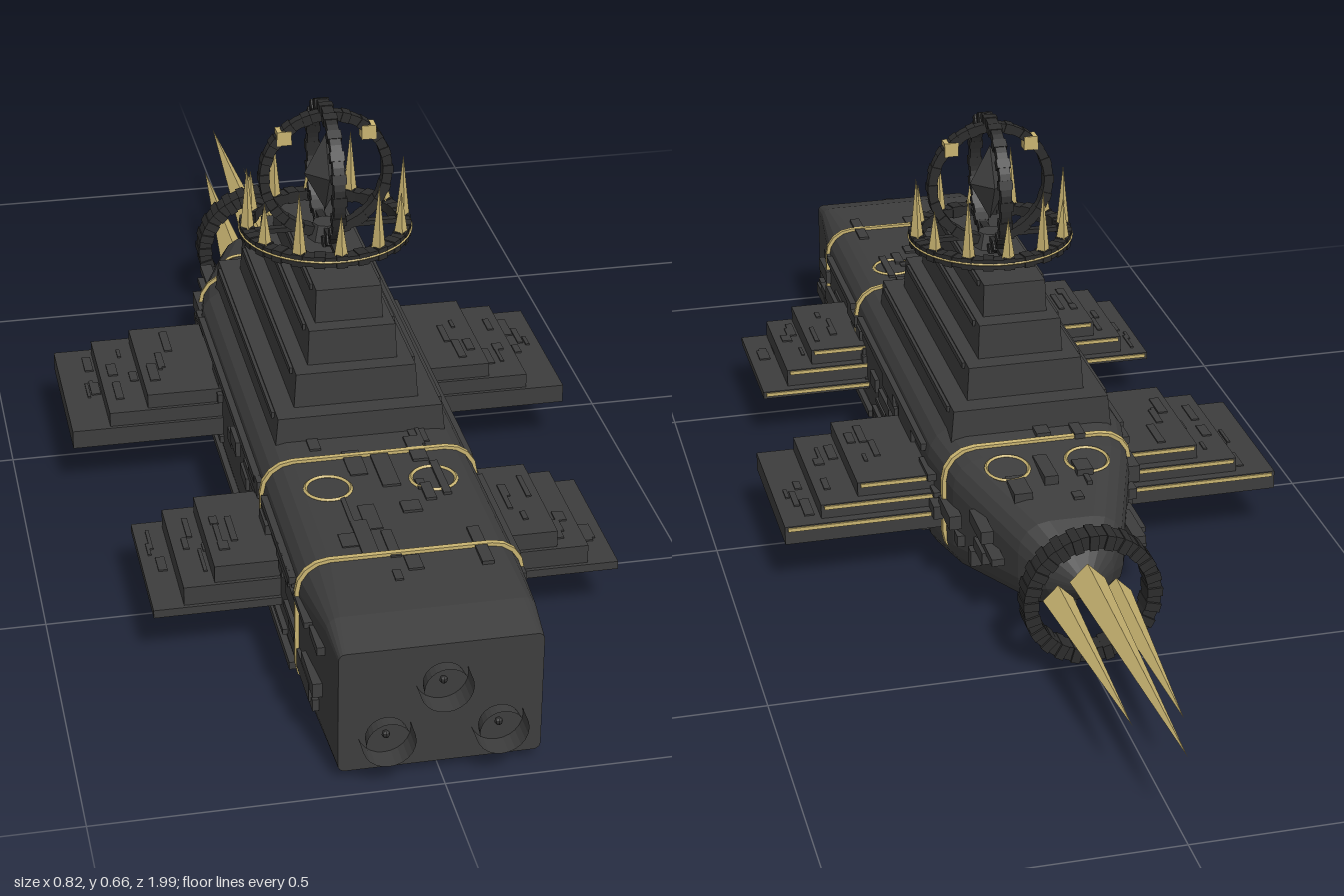
import * as THREE from 'three';
import { mergeGeometries } from 'three/addons/utils/BufferGeometryUtils.js';

const mat = (name, color) => {
  const m = new THREE.MeshStandardMaterial({ color, flatShading: true });
  m.name = name;
  return m;
};

// Hull stations: z, half width, bottom, top, corner radius
const STATIONS = [
  [0.965, 0.145, 0.022, 0.215, 0.01], [0.9, 0.15, 0.02, 0.233, 0.02],
  [0.77, 0.162, 0.016, 0.238, 0.045], [-0.1, 0.164, 0.016, 0.238, 0.05],
  [-0.2, 0.146, 0.026, 0.225, 0.05], [-0.38, 0.085, 0.054, 0.197, 0.05],
  [-0.43, 0.055, 0.082, 0.17, 0.04], [-0.475, 0.008, 0.118, 0.134, 0.008],
];

function stationAt(z) {
  let i = 0;
  while (i < STATIONS.length - 2 && z < STATIONS[i + 1][0]) i++;
  const a = STATIONS[i], b = STATIONS[i + 1], t = (a[0] - z) / (a[0] - b[0]);
  return a.map((v, k) => v + (b[k] - v) * t);
}

// Loft rounded rectangles from front to back, with end caps
function loft(stations) {
  const steps = 4, n = 4 * (steps + 1), pos = [], idx = [];
  for (const [z, w, y0, y1, r] of stations) {
    const corners = [[w - r, y1 - r], [r - w, y1 - r], [r - w, y0 + r], [w - r, y0 + r]];
    corners.forEach(([cx, cy], q) => {
      for (let s = 0; s <= steps; s++) {
        const a = (q + s / steps) * Math.PI / 2;
        pos.push(cx + r * Math.cos(a), cy + r * Math.sin(a), z);
      }
    });
  }
  const last = (stations.length - 1) * n;
  for (let i = 0; i < last; i += n) {
    for (let j = 0; j < n; j++) {
      const a = i + j, b = i + (j + 1) % n;
      idx.push(a, a + n, b, b, a + n, b + n);
    }
  }
  for (let j = 1; j < n - 1; j++) idx.push(0, j, j + 1, last, last + j + 1, last + j);
  const g = new THREE.BufferGeometry();
  g.setAttribute('position', new THREE.Float32BufferAttribute(pos, 3));
  g.setIndex(idx);
  const flat = g.toNonIndexed();
  flat.computeVertexNormals();
  return flat;
}

export function createModel() {
  const dark = mat('darkHull', 0x3d3d3d);
  const black = mat('blackRing', 0x2c2c2c);
  const gold = mat('paleGold', 0xc9b471);
  const model = new THREE.Group();
  let seed = 7;
  const rnd = () => (seed = (seed * 16807) % 2147483647) / 2147483647;

  const add = (name, geo, material, x = 0, y = 0, z = 0, parent = model) => {
    const m = new THREE.Mesh(geo, material);
    m.name = name;
    m.position.set(x, y, z);
    parent.add(m);
    return m;
  };
  const block = (x0, x1, y0, y1, z0, z1) =>
    new THREE.BoxGeometry(x1 - x0, y1 - y0, z1 - z0)
      .translate((x0 + x1) / 2, (y0 + y1) / 2, (z0 + z1) / 2);

  add('hull', loft(STATIONS), dark);

  // Gold bands hugging the hull
  for (const z of [0.765, 0.485, -0.17]) {
    const ring = [z + 0.004, z - 0.004].map((zz) => {
      const [, w, y0, y1, r] = stationAt(zz);
      return [zz, w + 0.006, y0 + 0.01, y1 + 0.005, r + 0.004];
    });
    add('hullBand', loft(ring), gold);
  }

  // Raised plates scattered over sides, roof and belly
  const plates = [];
  for (let i = 0; i < 170; i++) {
    const z = -0.33 + rnd() * 1.22, l = 0.02 + rnd() * 0.08, h = 0.006 + rnd() * 0.025;
    const [, w, y0, y1, r] = stationAt(z - l / 2 * Math.sign(z));
    const out = 0.003 + rnd() * 0.006, kind = i % 4;
    if (kind < 2) {
      const s = kind ? 1 : -1, y = y0 + r + rnd() * (y1 - y0 - 2 * r);
      plates.push(new THREE.BoxGeometry(0.02, h, l).translate(s * (w - 0.01 + out), y, z));
    } else {
      const x = (rnd() * 2 - 1) * (w - r - 0.01);
      const y = kind === 2 ? y1 - 0.01 + out * 0.5 : y0 + 0.01 - out;
      plates.push(new THREE.BoxGeometry(h, 0.02, l).translate(x, y, z));
    }
  }
  for (const s of [-1, 1]) {
    for (const [y, z0, z1] of [[0.2, -0.08, 0.45], [0.2, 0.51, 0.74], [0.055, -0.08, 0.3], [0.055, 0.36, 0.74]])
      plates.push(new THREE.BoxGeometry(0.02, 0.012, z1 - z0).translate(s * 0.161, y - 0.005, (z0 + z1) / 2));
  }
  add('hullPlates', mergeGeometries(plates), dark);

  // Three engine nozzles on the flat end
  const nozzle = new THREE.LatheGeometry([[0, 0.008], [0.009, 0.008], [0.03, 0.014], [0.032, 0.035],
    [0.038, 0.035], [0.038, 0]].map(([x, y]) => new THREE.Vector2(x, y)), 24).rotateX(Math.PI / 2);
  for (const [x, y] of [[0, 0.165], [-0.08, 0.085], [0.08, 0.085]]) {
    add('nozzle', nozzle, dark, x, y, 0.965);
    add('nozzleCore', new THREE.SphereGeometry(0.006, 8, 6), black, x, y, 0.976);
  }

  // Gold circles on the roof
  for (const s of [-1, 1]) {
    for (const [x, z, tilt] of [[0.08, 0.57, 0], [0.065, -0.235, -0.14]]) {
      const c = add('roofCircle', new THREE.TorusGeometry(0.034, 0.003, 4, 28).rotateX(Math.PI / 2),
        gold, s * x, stationAt(z)[3] + 0.001, z);
      c.rotation.x = tilt;
    }
  }

  // Stepped wings with gold trim along their back edges
  const wings = [
    { z0: -0.155, z1: 0.12, tiers: [[0.41, 0.087, 0.118], [0.348, 0.118, 0.142], [0.285, 0.142, 0.166]] },
    { z0: 0.39, z1: 0.635, tiers: [[0.353, 0.087, 0.1], [0.307, 0.1, 0.13], [0.26, 0.13, 0.157]] },
  ];
  for (const s of [-1, 1]) {
    for (const { z0, z1, tiers } of wings) {
      const wing = new THREE.Group();
      wing.name = s > 0 ? 'leftWing' : 'rightWing';
      model.add(wing);
      tiers.forEach(([x, y0, y1], i) => {
        const back = z0 + i * 0.016, front = z1 - i * 0.006;
        const span = (a, b) => (s > 0 ? [a, b] : [-b, -a]);
        add('wingTier', block(...span(0.12, x), y0, y1, back, front), dark, 0, 0, 0, wing);
        add('wingTrim', block(...span(0.15, x - 0.005), y1 - 0.008, y1 - 0.002, back - 0.003, back + 0.002),
          gold, 0, 0, 0, wing);
        const ribs = [];
        for (let k = 0; k < 4; k++) {
          const rx = x - 0.055 + rnd() * 0.04, rz = back + 0.05 + rnd() * (front - back - 0.1);
          ribs.push(new THREE.BoxGeometry(0.005 + rnd() * 0.012, 0.005, 0.02 + rnd() * 0.05).translate(s * rx, y1, rz));
        }
        add('wingPlates', mergeGeometries(ribs), dark, 0, 0, 0, wing);
      });
    }
  }

  // Stepped tower, each tier slightly narrower at its top
  const tiers = [[0.133, 0.425, -0.135, 0.225, 0.278], [0.097, 0.39, -0.095, 0.278, 0.333],
    [0.07, 0.36, -0.06, 0.333, 0.39], [0.053, 0.332, -0.024, 0.39, 0.444]];
  for (const [w, z1, z0, y0, y1] of tiers) {
    const g = block(-w, w, y0, y1, z0, z1), p = g.attributes.position, mid = (z0 + z1) / 2;
    for (let i = 0; i < p.count; i++) {
      if (p.getY(i) > (y0 + y1) / 2) {
        p.setX(i, p.getX(i) * 0.96);
        p.setZ(i, mid + (p.getZ(i) - mid) * 0.99);
      }
    }
    add('towerTier', g, dark);
    for (const s of [-1, 1])
      add('tierLedge', block(-0.004, 0.004, y1 - 0.012, y1 - 0.002, z0 + 0.03, z1 - 0.03), dark, s * w * 0.97);
  }

  // Ring with small blocks around it, facing +z
  const studdedRing = (r, thick, depth, studs) => {
    const shape = new THREE.Shape().absarc(0, 0, r, 0, Math.PI * 2);
    shape.holes.push(new THREE.Path().absarc(0, 0, r - thick, 0, Math.PI * 2, true));
    const parts = [new THREE.ExtrudeGeometry(shape, { depth, bevelEnabled: false, curveSegments: 20 })
      .translate(0, 0, -depth / 2).deleteAttribute('uv')];
    for (let i = 0; i < studs; i++) {
      parts.push(new THREE.BoxGeometry(thick * 1.1, r * 0.13, depth * 1.25).toNonIndexed().deleteAttribute('uv')
        .translate(r - thick / 2, 0, 0).rotateZ(i / studs * Math.PI * 2));
    }
    return mergeGeometries(parts);
  };

  // Crown: flat ring, alternating spikes, crossed rings and a crystal
  const crown = new THREE.Group();
  crown.name = 'crown';
  crown.position.z = 0.145;
  model.add(crown);
  add('crownNeck', new THREE.CylinderGeometry(0.02, 0.03, 0.03, 8), dark, 0, 0.455, 0, crown);
  add('crownRing', studdedRing(0.135, 0.02, 0.016, 24).rotateX(Math.PI / 2), black, 0, 0.463, 0, crown);
  add('crownTrim', new THREE.TorusGeometry(0.136, 0.002, 4, 48).rotateX(Math.PI / 2), gold, 0, 0.464, 0, crown);
  for (const turn of [0, Math.PI / 2])
    add('crownSpoke', new THREE.BoxGeometry(0.25, 0.008, 0.012).rotateY(turn), black, 0, 0.463, 0, crown);
  for (let i = 0; i < 12; i++) {
    const a = i * Math.PI / 6, h = i % 2 ? 0.07 : 0.105;
    add('crownSpike', new THREE.ConeGeometry(0.011, h, 4), gold,
      0.125 * Math.cos(a), 0.47 + h / 2, 0.125 * Math.sin(a), crown);
  }
  add('crossRing', studdedRing(0.106, 0.015, 0.016, 20), black, 0, 0.555, 0, crown);
  add('longRing', studdedRing(0.116, 0.014, 0.018, 20).rotateY(Math.PI / 2), black, 0, 0.555, 0, crown);
  for (const s of [-1, 1])
    add('ringCube', new THREE.BoxGeometry(0.023, 0.023, 0.023), gold, s * 0.067, 0.622, 0, crown);
  add('crystal', new THREE.OctahedronGeometry(1).scale(0.034, 0.065, 0.034), dark, 0, 0.556, 0, crown);

  // Nose ring and its three long spikes
  add('noseRing', studdedRing(0.108, 0.022, 0.032, 24), black, 0, 0.125, -0.493);
  for (const [x, y, tip, r] of [[0, 0.14, -0.985, 0.028], [-0.042, 0.113, -0.85, 0.024], [0.042, 0.113, -0.85, 0.024]]) {
    const len = -0.475 - tip;
    const spike = add('noseSpike', new THREE.ConeGeometry(r, len, 4).rotateX(-Math.PI / 2), gold, x, y, -0.475 - len / 2);
    spike.rotation.y = x * 0.5;
  }
  return model;
}
